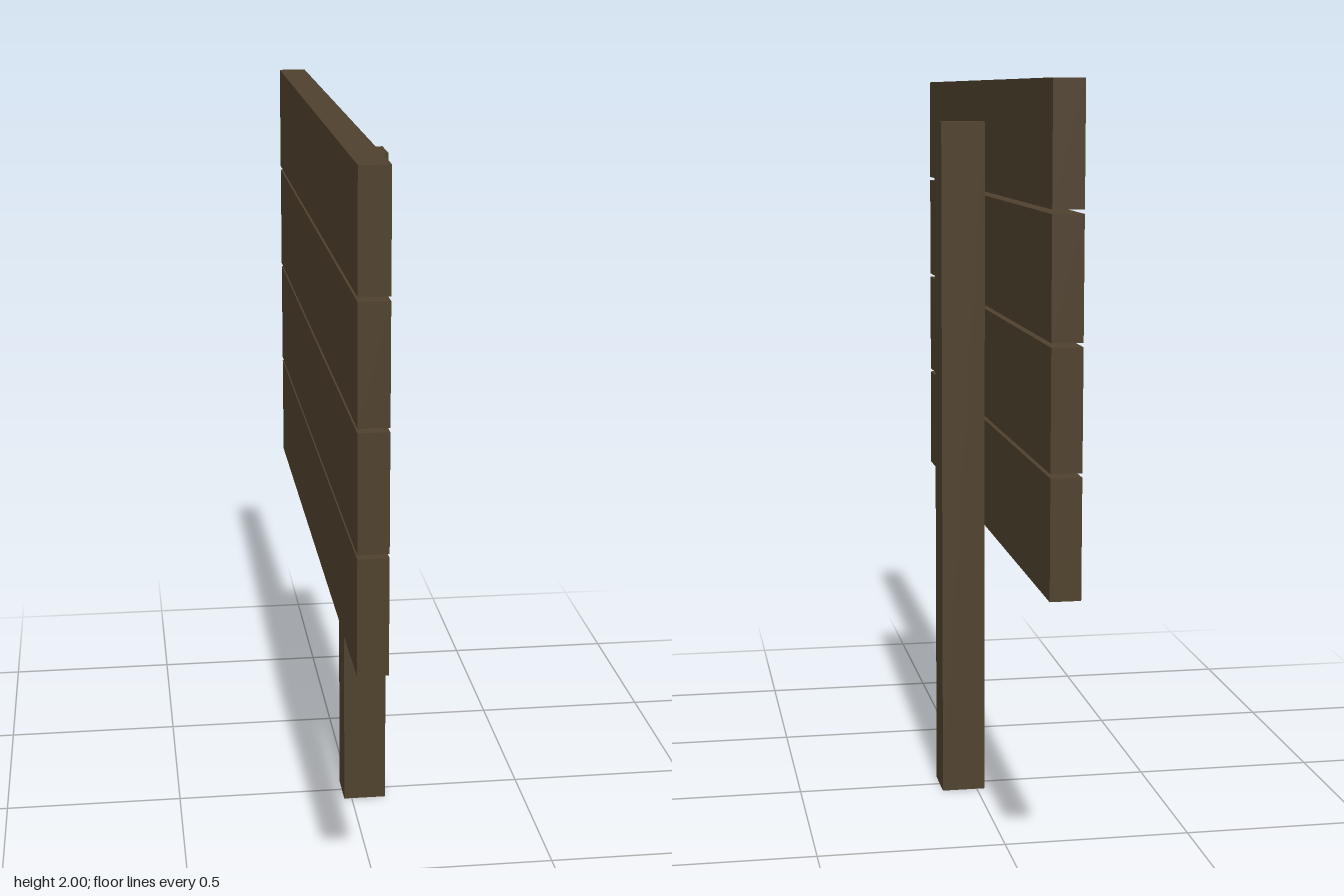
import * as THREE from 'three';

export function createModel() {
  const model = new THREE.Group();
  model.name = 'woodenSign';
  const wood = new THREE.MeshStandardMaterial({ color: 0x4f412d });
  wood.name = 'dark brown wood';

  const addBox = (name, w, h, d, x, y, z) => {
    const mesh = new THREE.Mesh(new THREE.BoxGeometry(w, h, d), wood);
    mesh.name = name;
    mesh.position.set(x, y, z);
    model.add(mesh);
  };

  // Upright post, standing behind the planks
  addBox('post', 0.12, 1.89, 0.12, 0.038, 0.945, 0);

  // Four horizontal planks with narrow gaps
  const plankHeight = 0.299, pitch = 0.3095;
  for (let i = 0; i < 4; i++) {
    addBox(`plank${i + 1}`, 0.077, plankHeight, 1.885, -0.0605, 2 - plankHeight / 2 - i * pitch, 0);
  }
  return model;
}
